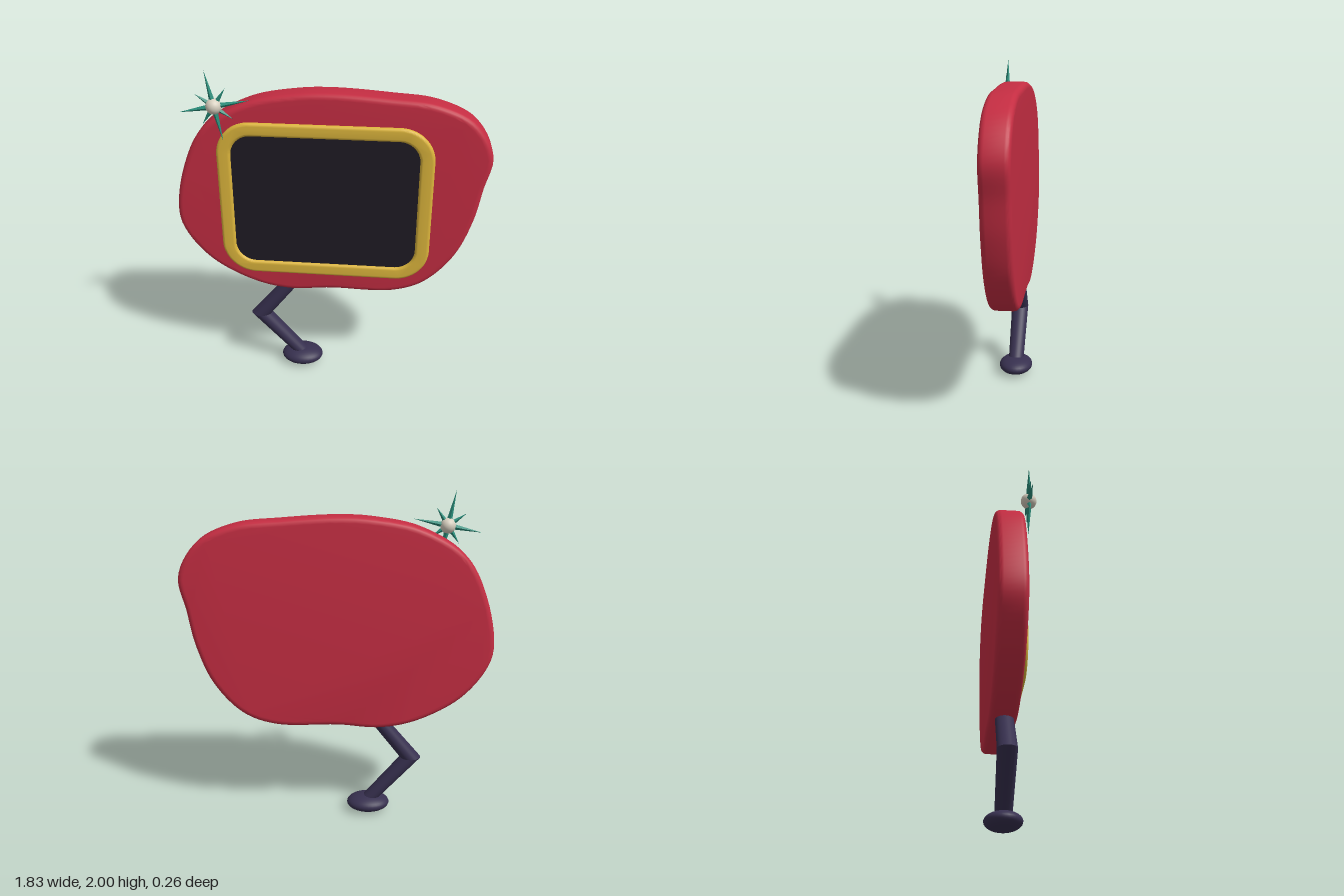
import * as THREE from 'three';
import { toCreasedNormals } from 'three/addons/utils/BufferGeometryUtils.js';

const paint = (color) => new THREE.MeshStandardMaterial({ color, roughness: 0.7 });

// Extrudes a shape between two depths with rounded rims that stay inside the outline
function slab(shape, back, front, bevel, curveSegments) {
  const geo = new THREE.ExtrudeGeometry(shape, {
    depth: front - back - 2 * bevel, curveSegments, bevelEnabled: bevel > 0,
    bevelThickness: bevel, bevelSize: bevel, bevelOffset: -bevel, bevelSegments: 5,
  });
  geo.translate(0, 0, back + bevel);
  return toCreasedNormals(geo, 0.6);
}

function roundedRect(path, x0, y0, x1, y1, r) {
  path.moveTo(x0 + r, y0);
  path.lineTo(x1 - r, y0);
  path.absarc(x1 - r, y0 + r, r, -Math.PI / 2, 0);
  path.lineTo(x1, y1 - r);
  path.absarc(x1 - r, y1 - r, r, 0, Math.PI / 2);
  path.lineTo(x0 + r, y1);
  path.absarc(x0 + r, y1 - r, r, Math.PI / 2, Math.PI);
  path.lineTo(x0, y0 + r);
  path.absarc(x0 + r, y0 + r, r, Math.PI, Math.PI * 1.5);
  return path;
}

// Leg segment with level ends, sheared sideways so the segments meet in a mitre;
// each end is [x, y, half width, half depth]
function legSegment(top, bottom) {
  const geo = new THREE.CylinderGeometry(1, 1, 1, 28, 1);
  const pos = geo.attributes.position;
  for (let i = 0; i < pos.count; i++) {
    const [x, y, rx, rz] = pos.getY(i) > 0 ? top : bottom;
    pos.setXYZ(i, x + pos.getX(i) * rx, y, -0.025 + pos.getZ(i) * rz);
  }
  geo.computeVertexNormals();
  return toCreasedNormals(geo, 0.6);
}

export function createModel() {
  const model = new THREE.Group();
  const add = (name, geo, mat, parent = model) => {
    const mesh = new THREE.Mesh(geo, mat);
    mesh.name = name;
    parent.add(mesh);
    return mesh;
  };

  // Lopsided body
  const outline = [
    [-0.917, 1.1], [-0.88, 0.97], [-0.73, 0.785], [-0.47, 0.643], [-0.25, 0.6],
    [0, 0.62], [0.38, 0.627], [0.57, 0.7], [0.74, 0.89], [0.835, 1.13],
    [0.875, 1.34], [0.91, 1.54], [0.8, 1.73], [0.59, 1.828], [0.325, 1.857],
    [0, 1.875], [-0.2, 1.864], [-0.47, 1.807], [-0.73, 1.65], [-0.865, 1.39],
  ].map(([x, y]) => new THREE.Vector3(x, y, 0));
  const curve = new THREE.CatmullRomCurve3(outline, true);
  const bodyShape = new THREE.Shape(
    curve.getSpacedPoints(140).slice(0, -1).map((p) => new THREE.Vector2(p.x, p.y)));
  add('body', slab(bodyShape, -0.113, 0.049, 0.032), paint(0xc42d42));

  // Screen and its raised frame
  const frame = roundedRect(new THREE.Shape(), -0.653, 0.73, 0.592, 1.7, 0.2);
  frame.holes.push(roundedRect(new THREE.Path(), -0.57, 0.81, 0.508, 1.62, 0.12));
  add('screenFrame', slab(frame, 0.02, 0.07, 0.018, 14), paint(0xdcb53c));
  const screen = roundedRect(new THREE.Shape(), -0.59, 0.79, 0.528, 1.64, 0.14);
  add('screen', slab(screen, 0.02, 0.055, 0, 14), paint(0x1f1b24));

  // Single bent leg
  const legMat = paint(0x37304f);
  const leg = new THREE.Group();
  leg.name = 'leg';
  model.add(leg);
  const hip = [-0.235, 0.64, 0.055, 0.052];
  const knee = [-0.452, 0.37, 0.064, 0.055];
  const ankle = [-0.195, 0.08, 0.054, 0.048];
  add('thigh', legSegment(hip, knee), legMat, leg);
  add('shin', legSegment(knee, ankle), legMat, leg);
  const foot = add('foot', new THREE.SphereGeometry(1, 32, 20), legMat, leg);
  foot.scale.set(0.133, 0.053, 0.106);
  foot.position.set(-0.19, 0.055, -0.025);

  // Sparkle: a bead with alternating long and short spikes
  const sparkle = new THREE.Group();
  sparkle.name = 'sparkle';
  sparkle.position.set(-0.638, 1.798, 0.083);
  sparkle.rotation.z = 0.2;
  model.add(sparkle);
  add('bead', new THREE.SphereGeometry(0.045, 28, 18), paint(0xd8d0c0), sparkle);
  const spikeMat = paint(0x2a8f7c);
  spikeMat.flatShading = true;
  for (let i = 0; i < 8; i++) {
    const length = i % 2 ? 0.126 : 0.206;
    const geo = new THREE.ConeGeometry(0.019, length, 4);
    geo.translate(0, length / 2, 0);
    add('spike', geo, spikeMat, sparkle).rotation.z = (i * Math.PI) / 4;
  }
  return model;
}
